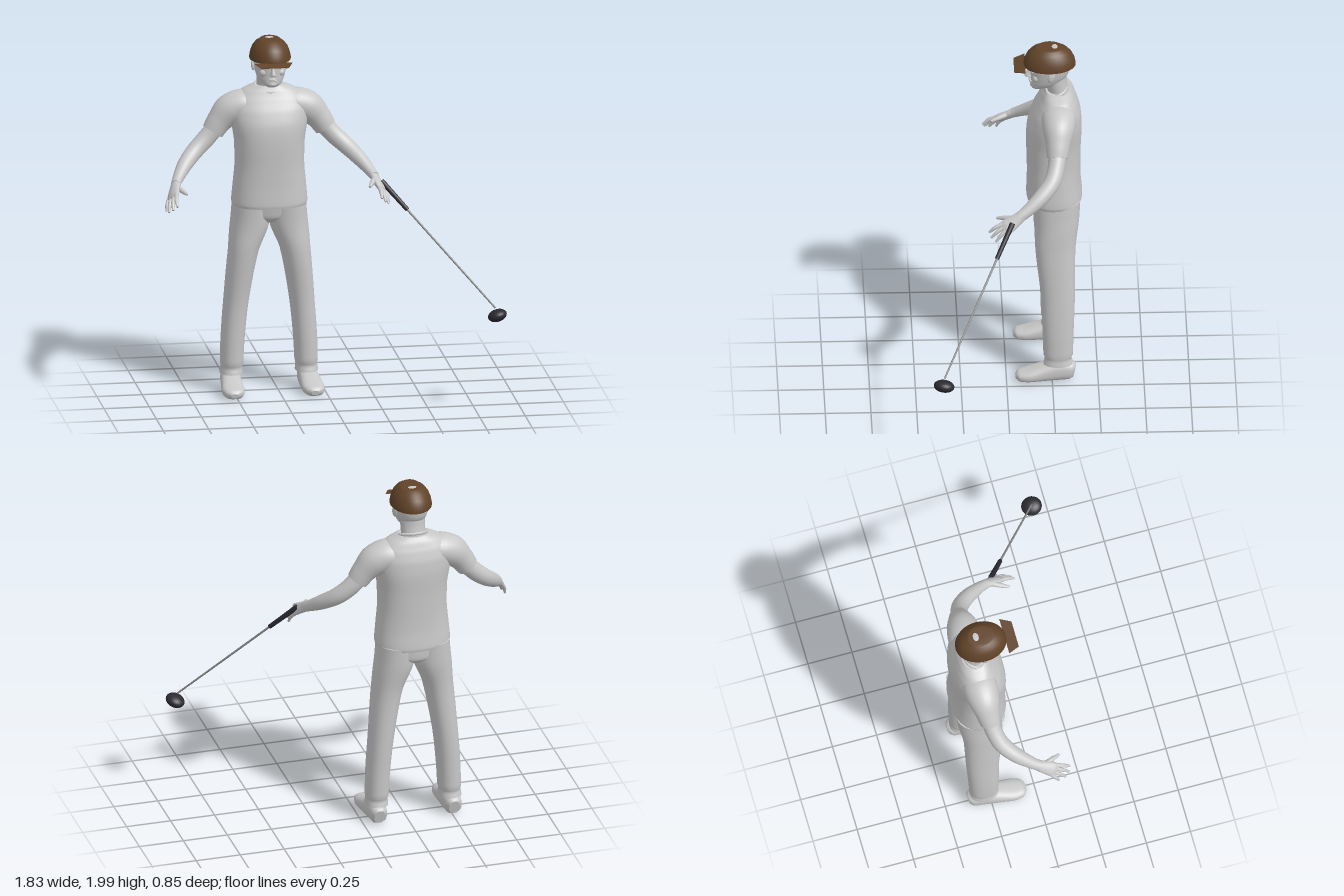
import * as THREE from 'three';

const V = (x, y, z) => new THREE.Vector3(x, y, z);
const mat = (name, color, side = THREE.FrontSide) => {
  const m = new THREE.MeshStandardMaterial({ color, side });
  m.name = name;
  return m;
};

// Smooth skin through rows [x, y, z, halfWidth, halfDepth].
// Depth follows ref; flat rows stay horizontal (listed from bottom to top).
function loft(rows, { ref = V(0, 0, 1), flat = false, power = 2, n = 28, steps = 5 } = {}) {
  const path = new THREE.CatmullRomCurve3(rows.map(r => V(r[0], r[1], r[2])));
  const size = new THREE.CatmullRomCurve3(rows.map(r => V(r[3], r[4], 0)));
  const count = (rows.length - 1) * steps;
  const pos = [], idx = [];
  const sup = c => Math.sign(c) * Math.pow(Math.abs(c), 2 / power);
  const ring = t => {
    const c = path.getPoint(t), s = size.getPoint(t);
    const T = flat ? V(0, 1, 0) : path.getTangent(t);
    const v = ref.clone().addScaledVector(T, -ref.dot(T)).normalize();
    const u = v.clone().cross(T);
    for (let j = 0; j < n; j++) {
      const a = j / n * Math.PI * 2;
      const p = c.clone().addScaledVector(u, s.x * sup(Math.cos(a))).addScaledVector(v, s.y * sup(Math.sin(a)));
      pos.push(p.x, p.y, p.z);
    }
    return c;
  };
  for (let i = 0; i <= count; i++) ring(i / count);
  for (let i = 0; i < count; i++) for (let j = 0; j < n; j++) {
    const a = i * n + j, b = i * n + (j + 1) % n;
    idx.push(a, b, b + n, a, b + n, a + n);
  }
  // end caps with their own corners, so the rims stay crisp
  for (const t of [0, 1]) {
    const base = pos.length / 3, c = ring(t);
    pos.push(c.x, c.y, c.z);
    for (let j = 0; j < n; j++) {
      const a = base + j, b = base + (j + 1) % n;
      idx.push(base + n, t ? a : b, t ? b : a);
    }
  }
  const g = new THREE.BufferGeometry();
  g.setAttribute('position', new THREE.Float32BufferAttribute(pos, 3));
  g.setIndex(idx);
  g.computeVertexNormals();
  return g;
}

export function createModel() {
  const grey = mat('bodyGrey', 0xc8c8c8);
  const brown = mat('capBrown', 0x614329, THREE.DoubleSide);
  const dark = mat('clubBlack', 0x2b2a31);
  const steel = mat('shaftGrey', 0x8c8c8c);
  const model = new THREE.Group();
  const body = new THREE.Group();
  body.name = 'golfer';
  body.position.x = -0.295;
  model.add(body);
  const add = (parent, name, geo, m = grey) => {
    const mesh = new THREE.Mesh(geo, m);
    mesh.name = name;
    parent.add(mesh);
    return mesh;
  };
  const blob = (name, x, y, z, rx, ry, rz, m = grey) => {
    const mesh = add(body, name, new THREE.SphereGeometry(1, 20, 14), m);
    mesh.position.set(x, y, z);
    mesh.scale.set(rx, ry, rz);
    return mesh;
  };

  // shirt
  add(body, 'shirt', loft([
    [0, 1.06, -0.268, 0.203, 0.15], [0, 1.08, -0.268, 0.208, 0.153], [0, 1.18, -0.265, 0.2, 0.147],
    [0, 1.3, -0.264, 0.19, 0.147], [0, 1.42, -0.264, 0.193, 0.15], [0, 1.52, -0.27, 0.208, 0.148],
    [0, 1.6, -0.28, 0.215, 0.131], [0, 1.66, -0.287, 0.195, 0.105], [0, 1.705, -0.289, 0.145, 0.082],
    [0, 1.73, -0.287, 0.088, 0.066]], { flat: true, power: 2.35, n: 48 }));
  const collar = add(body, 'collar', new THREE.TorusGeometry(0.075, 0.009, 10, 36).rotateX(Math.PI / 2).scale(1.04, 1, 0.92));
  collar.position.set(0, 1.722, -0.275);
  collar.rotation.x = 0.36;

  // hips between the trouser legs
  add(body, 'hips', loft([[0, 0.965, -0.28, 0.07, 0.08], [0, 1.0, -0.282, 0.165, 0.118],
    [0, 1.1, -0.275, 0.19, 0.13]], { flat: true, n: 36 }));

  for (const s of [1, -1]) {
    const side = s > 0 ? 'left' : 'right';
    const limb = (name, rows, o) => add(body, side + name, loft(rows.map(([x, ...r]) => [s * x, ...r]), o));

    limb('TrouserLeg', [[0.208, 0.105, -0.283, 0.063, 0.081], [0.206, 0.16, -0.283, 0.063, 0.081],
      [0.2, 0.3, -0.283, 0.065, 0.085], [0.183, 0.5, -0.283, 0.068, 0.092],
      [0.143, 0.8, -0.27, 0.083, 0.11], [0.108, 0.95, -0.278, 0.106, 0.122],
      [0.1, 1.08, -0.278, 0.102, 0.13]], { flat: true, power: 2.2 });
    limb('Shoe', [[0.212, 0.055, -0.37, 0.03, 0.04], [0.212, 0.06, -0.35, 0.046, 0.053],
      [0.213, 0.065, -0.28, 0.054, 0.059], [0.217, 0.053, -0.2, 0.059, 0.047],
      [0.221, 0.04, -0.12, 0.062, 0.034], [0.222, 0.034, -0.07, 0.049, 0.027],
      [0.222, 0.03, -0.05, 0.02, 0.013]], { ref: V(0, 1, 0), power: 2.5 });
    limb('Sleeve', [[0.08, 1.625, -0.29, 0.07, 0.085], [0.15, 1.618, -0.288, 0.085, 0.096],
      [0.215, 1.59, -0.285, 0.088, 0.088], [0.273, 1.533, -0.28, 0.07, 0.068],
      [0.312, 1.475, -0.275, 0.061, 0.058]]);
    limb('Arm', [[0.27, 1.53, -0.278, 0.05, 0.05], [0.35, 1.438, -0.268, 0.05, 0.047],
      [0.418, 1.376, -0.24, 0.047, 0.046], [0.482, 1.318, -0.175, 0.041, 0.042],
      [0.535, 1.26, -0.09, 0.029, 0.032], [0.548, 1.243, -0.06, 0.026, 0.03]]);

    // hand: palm, four fingers and thumb spread across one slanted axis
    const ref = V(s * -0.52, 0.43, 0.74);
    limb('Palm', [[0.54, 1.255, -0.085, 0.026, 0.027], [0.556, 1.228, -0.04, 0.022, 0.036],
      [0.572, 1.2, 0.005, 0.019, 0.043], [0.58, 1.186, 0.026, 0.011, 0.036]], { ref });
    const tips = [[0.615, 1.118, 0.03], [0.606, 1.122, 0.07], [0.587, 1.138, 0.095], [0.565, 1.16, 0.106]];
    tips.forEach((tip, i) => {
      const k = (i - 1.5) * 0.02;
      const a = [0.574 - 0.52 * k, 1.196 + 0.43 * k, 0.01 + 0.74 * k];
      const mid = a.map((c, d) => (c + tip[d]) / 2 + [0.004, 0.004, 0.004][d]);
      limb('Finger' + (i + 1), [[...a, 0.012, 0.012], [...mid, 0.0115, 0.011], [...tip, 0.006, 0.006]], { ref, n: 12 });
    });
    limb('Thumb', [[0.55, 1.238, -0.04, 0.016, 0.016], [0.525, 1.226, 0.015, 0.014, 0.014],
      [0.505, 1.216, 0.062, 0.007, 0.007]], { ref: V(0, 1, 0), n: 12 });

    // face details that come in pairs
    const ear = blob(side + 'Ear', s * 0.092, 1.853, -0.25, 0.011, 0.034, 0.021);
    ear.rotation.set(-0.2, s * 0.35, 0);
    blob(side + 'Eye', s * 0.037, 1.861, -0.152, 0.016, 0.009, 0.012);
    blob(side + 'Brow', s * 0.037, 1.88, -0.154, 0.029, 0.008, 0.015);
    blob(side + 'Cheek', s * 0.044, 1.825, -0.167, 0.026, 0.022, 0.02);
  }

  // neck and head
  add(body, 'neck', loft([[0, 1.67, -0.295, 0.075, 0.06], [0, 1.73, -0.288, 0.067, 0.058],
    [0, 1.78, -0.278, 0.068, 0.06], [0, 1.84, -0.265, 0.07, 0.07]], { flat: true }));
  add(body, 'head', loft([[0, 1.745, -0.178, 0.03, 0.032], [0, 1.762, -0.196, 0.053, 0.058],
    [0, 1.79, -0.222, 0.074, 0.083], [0, 1.83, -0.24, 0.086, 0.102], [0, 1.87, -0.246, 0.092, 0.109],
    [0, 1.91, -0.25, 0.094, 0.11], [0, 1.95, -0.25, 0.08, 0.095], [0, 1.975, -0.25, 0.045, 0.055]],
  { flat: true, power: 2.15, n: 40 }));
  add(body, 'nose', loft([[0, 1.808, -0.145, 0.013, 0.012], [0, 1.816, -0.133, 0.019, 0.026],
    [0, 1.828, -0.133, 0.014, 0.026], [0, 1.855, -0.139, 0.009, 0.016], [0, 1.885, -0.145, 0.011, 0.014]],
  { flat: true, n: 16 }));
  blob('upperLip', 0, 1.793, -0.14, 0.026, 0.006, 0.012);
  blob('lowerLip', 0, 1.783, -0.141, 0.022, 0.006, 0.011);
  blob('chin', 0, 1.762, -0.157, 0.028, 0.017, 0.022);

  // cap crown, with the scalp showing through at the top
  const profile = [[1, 1.888], [1, 1.9], [0.96, 1.925], [0.86, 1.955], [0.71, 1.978], [0.55, 1.99], [0.47, 1.999], [0, 1.996]];
  const crown = add(body, 'capCrown', new THREE.LatheGeometry(profile.map(p => new THREE.Vector2(...p)), 36), brown);
  crown.scale.set(0.113, 1, 0.143);
  crown.position.z = -0.242;
  blob('scalp', 0, 1.99, -0.272, 0.04, 0.01, 0.024);

  // visor, a thin tapering plate
  const outline = [[-0.103, 0], [0.103, 0], [0.075, 0.062], [-0.075, 0.062]].map(p => new THREE.Vector2(...p));
  const visor = add(body, 'capVisor', new THREE.ExtrudeGeometry(new THREE.Shape(outline), { depth: 0.003, bevelEnabled: false }), brown);
  visor.position.set(0, 1.893, -0.108);
  visor.rotation.x = Math.PI / 2 + 0.17;

  // golf club
  const club = new THREE.Group();
  club.name = 'golfClub';
  model.add(club);
  const rod = (name, a, b, ra, rb, m) => {
    const mesh = add(club, name, new THREE.CylinderGeometry(rb, ra, a.distanceTo(b), 16), m);
    mesh.position.copy(a).lerp(b, 0.5);
    mesh.quaternion.setFromUnitVectors(V(0, 1, 0), b.clone().sub(a).normalize());
  };
  const gripEnd = V(0.417, 1.08, 0.067);
  rod('grip', V(0.287, 1.225, -0.022), gripEnd, 0.015, 0.012, dark);
  rod('shaft', gripEnd, V(0.855, 0.588, 0.366), 0.006, 0.005, steel);
  const head = add(club, 'clubHead', new THREE.SphereGeometry(1, 28, 18), dark);
  head.position.set(0.866, 0.545, 0.37);
  head.scale.set(0.053, 0.034, 0.057);
  head.quaternion.setFromUnitVectors(V(0, 1, 0), V(-0.3, 1, -0.15).normalize());
  return model;
}
